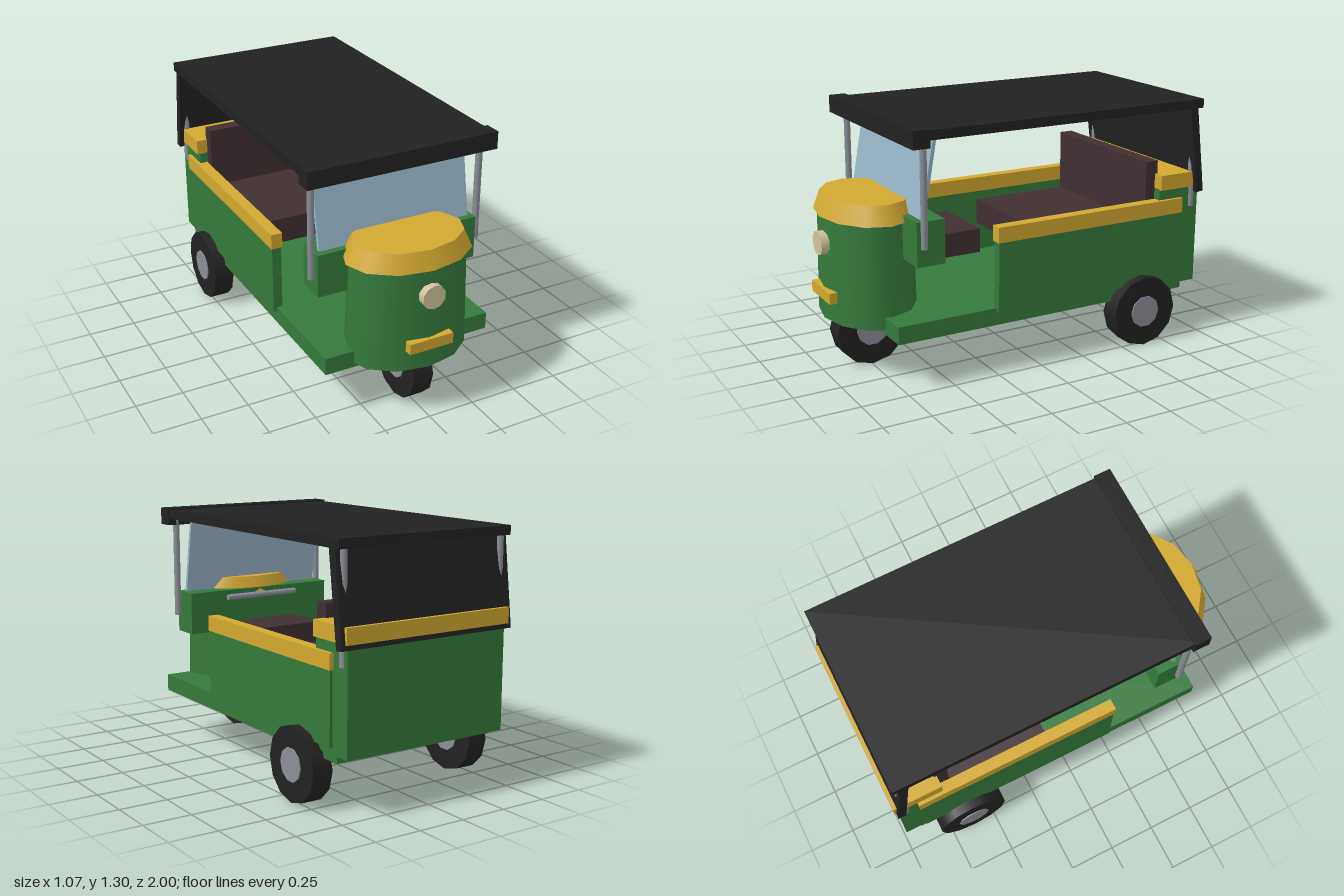
import * as THREE from 'three';

const mat = (name, color, extra = {}) => {
  const m = new THREE.MeshStandardMaterial({ color, ...extra });
  m.name = name;
  return m;
};

export function createModel() {
  const green = mat('green paint', 0x357a3c);
  const yellow = mat('yellow trim', 0xd2a830);
  const black = mat('black canvas and rubber', 0x222222);
  const seat = mat('brown upholstery', 0x402f32);
  const metal = mat('grey metal', 0x8c8f98);
  const glass = mat('blue glass', 0x9ab6c8);
  const lamp = mat('cream lamp', 0xd0c49c);

  const model = new THREE.Group();
  model.name = 'threeWheeler';

  const add = (name, geometry, material, x = 0, y = 0, z = 0) => {
    const mesh = new THREE.Mesh(geometry, material);
    mesh.name = name;
    mesh.position.set(x, y, z);
    model.add(mesh);
    return mesh;
  };
  // Box given by its lower and upper limits on each axis
  const box = (name, material, x0, x1, y0, y1, z0, z1) =>
    add(name, new THREE.BoxGeometry(x1 - x0, y1 - y0, z1 - z0), material,
      (x0 + x1) / 2, (y0 + y1) / 2, (z0 + z1) / 2);
  // Slanted plate: side outline in (z, y), extruded across the width
  const slanted = (name, material, halfWidth, outline) => {
    const shape = new THREE.Shape(outline.map(([z, y]) => new THREE.Vector2(-z, y)));
    const g = new THREE.ExtrudeGeometry(shape, { depth: halfWidth * 2, bevelEnabled: false });
    g.translate(0, 0, -halfWidth).rotateY(Math.PI / 2);
    return add(name, g, material);
  };

  // Floor and body
  box('floor', green, -0.46, 0.46, 0.255, 0.345, -0.9, 0.78);
  box('rearBody', green, -0.465, 0.465, 0.29, 0.83, -0.985, -0.735);
  box('rearBelt', yellow, -0.48, 0.48, 0.825, 0.905, -1, -0.735);
  for (const [side, s] of [['left', 1], ['right', -1]]) {
    const panel = box(side + 'SidePanel', green, 0.43, 0.48, 0.325, 0.7, -0.87, 0.24);
    const rail = box(side + 'Rail', yellow, 0.425, 0.485, 0.69, 0.77, -0.875, 0.245);
    panel.position.x *= s;
    rail.position.x *= s;
  }

  // Rounded front cowl with its cap
  const cowl = new THREE.CylinderGeometry(0.305, 0.32, 0.53, 12).scale(1, 1, 0.735);
  add('frontCowl', cowl, green, 0, 0.545, 0.743);
  const cap = new THREE.CylinderGeometry(0.29, 0.335, 0.095, 12).scale(1, 1, 0.715);
  add('cowlCap', cap, yellow, 0, 0.858, 0.745);
  add('headlight', new THREE.CylinderGeometry(0.063, 0.063, 0.06, 10).rotateX(Math.PI / 2),
    lamp, 0, 0.675, 0.97);
  box('frontPlate', yellow, -0.12, 0.12, 0.388, 0.445, 0.95, 0.993);

  // Dashboard, handlebar and windscreen
  box('dashboard', green, -0.44, 0.44, 0.62, 0.845, 0.515, 0.665);
  add('handlebar', new THREE.CylinderGeometry(0.016, 0.016, 0.44, 8).rotateZ(Math.PI / 2),
    metal, 0, 0.808, 0.497);
  slanted('windscreen', glass, 0.415,
    [[0.638, 0.8], [0.618, 0.8], [0.54, 1.25], [0.558, 1.25]]);

  // Seats
  box('driverSeat', seat, -0.19, 0.19, 0.555, 0.68, 0.19, 0.46);
  box('passengerBench', seat, -0.42, 0.42, 0.505, 0.645, -0.7, -0.12);
  box('passengerBackrest', seat, -0.42, 0.42, 0.6, 0.975, -0.75, -0.678);

  // Canopy
  box('roof', black, -0.503, 0.503, 1.25, 1.297, -0.97, 0.65);
  box('roofVisor', black, -0.512, 0.512, 1.215, 1.305, 0.62, 0.71);
  slanted('rearCurtain', black, 0.503,
    [[-0.89, 1.255], [-0.935, 1.255], [-0.993, 0.8], [-0.95, 0.795]]);
  for (const s of [1, -1])
    for (const [name, z] of [['frontPole', 0.635], ['rearPole', -0.943]])
      add(name, new THREE.CylinderGeometry(0.018, 0.018, 0.54, 8), metal, s * 0.46, 0.985, z);

  // Wheels: tyre with a slightly wider hub
  const tyre = new THREE.CylinderGeometry(0.19, 0.19, 0.108, 12).rotateZ(Math.PI / 2);
  const hub = new THREE.CylinderGeometry(0.086, 0.086, 0.12, 10).rotateZ(Math.PI / 2);
  for (const [name, x, z] of [['front', 0, 0.743], ['rearLeft', 0.475, -0.62], ['rearRight', -0.475, -0.62]]) {
    add(name + 'Tyre', tyre, black, x, 0.19, z);
    add(name + 'Hub', hub, metal, x, 0.19, z);
  }

  return model;
}
